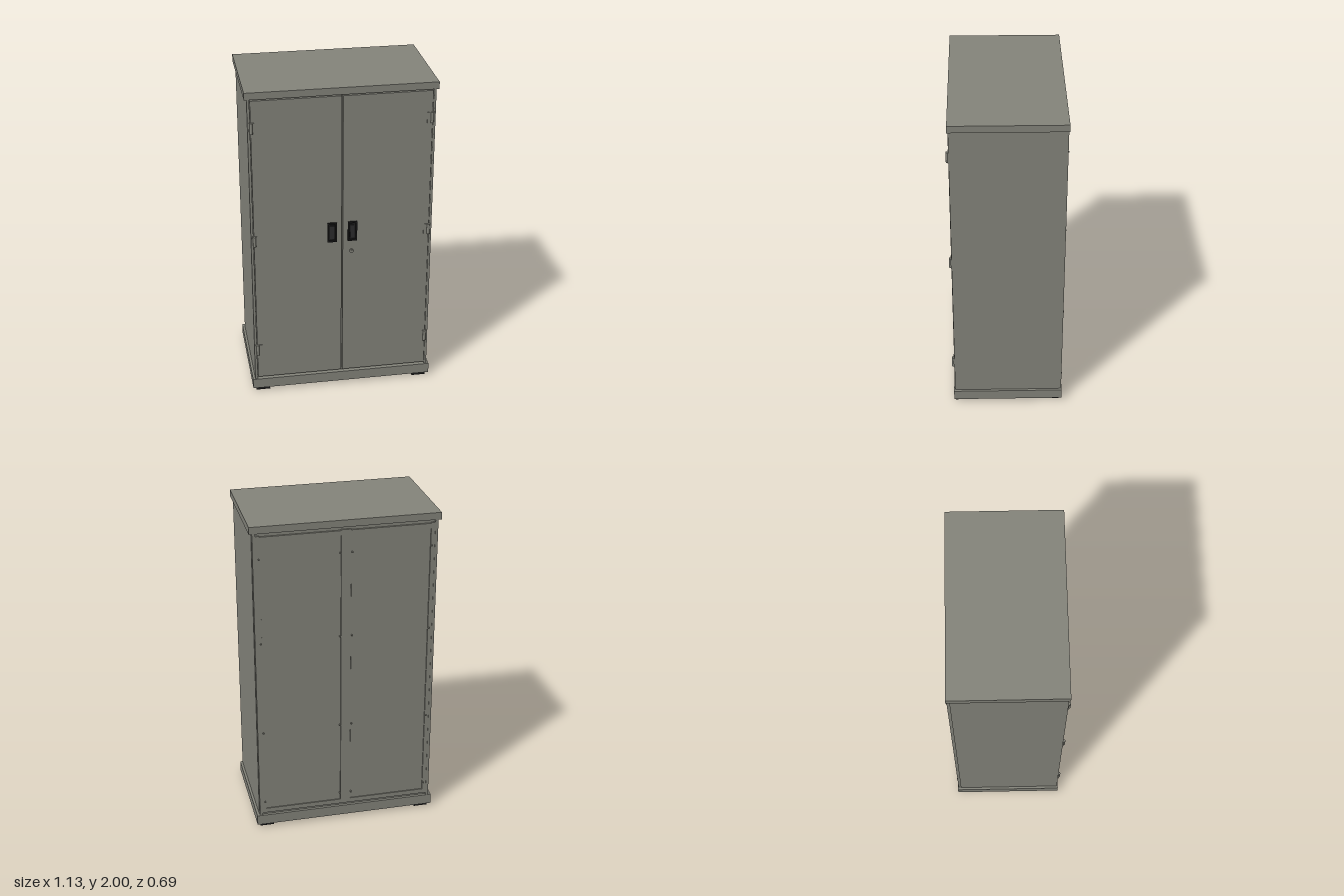
import * as THREE from 'three';

const paint = new THREE.MeshStandardMaterial({ color: 0x84847b });
paint.name = 'grey paint';
const black = new THREE.MeshStandardMaterial({ color: 0x1a1a1b });
black.name = 'black plastic';
const charcoal = new THREE.MeshStandardMaterial({ color: 0x2c2c2d });
charcoal.name = 'charcoal plastic';

export function createModel() {
  const cabinet = new THREE.Group();
  cabinet.name = 'cabinet';

  // Box given by its limits on each axis
  const box = (name, x0, x1, y0, y1, z0, z1, mat = paint) => {
    const m = new THREE.Mesh(new THREE.BoxGeometry(Math.abs(x1 - x0), y1 - y0, z1 - z0), mat);
    m.position.set((x0 + x1) / 2, (y0 + y1) / 2, (z0 + z1) / 2);
    m.name = name;
    cabinet.add(m);
    return m;
  };
  // Upright or z-facing cylinder
  const rod = (name, r, len, x, y, z, facing, sides = 16) => {
    const m = new THREE.Mesh(new THREE.CylinderGeometry(r, r, len, sides), paint);
    if (facing) m.rotation.x = Math.PI / 2;
    m.position.set(x, y, z);
    m.name = name;
    cabinet.add(m);
    return m;
  };
  // Upright rectangular ring extruded along z
  const ring = (name, x, y, w, h, border, z0, depth, mat) => {
    const rect = (p, a, b) => p.moveTo(-a, -b).lineTo(a, -b).lineTo(a, b).lineTo(-a, b).closePath();
    const s = rect(new THREE.Shape(), w / 2, h / 2);
    s.holes.push(rect(new THREE.Path(), w / 2 - border, h / 2 - border));
    const m = new THREE.Mesh(new THREE.ExtrudeGeometry(s, { depth, bevelEnabled: false }), mat);
    m.position.set(x, y, z0);
    m.name = name;
    cabinet.add(m);
    return m;
  };

  // Carcass, lid and hollow plinth
  box('body', -0.545, 0.545, 0.05, 1.96, -0.325, 0.308);
  box('lid', -0.565, 0.565, 1.957, 2, -0.342, 0.336);
  const plinth = ring('plinth', 0, 0.02, 1.13, 0.678, 0.025, 0, 0.065, paint);
  plinth.rotation.x = -Math.PI / 2;
  plinth.position.set(0, 0.02, -0.003);
  box('plinthTop', -0.55, 0.55, 0.07, 0.085, -0.335, 0.33);
  box('floorPan', -0.55, 0.55, 0.026, 0.05, -0.33, 0.322);
  box('topRail', -0.535, 0.535, 1.951, 1.958, -0.3, 0.318);

  for (const s of [-1, 1]) {
    // Side panels, front posts and doors
    box('sidePanel', s * 0.537, s * 0.55, 0.08, 1.958, -0.322, 0.329);
    box('rearCorner', s * 0.53, s * 0.547, 0.08, 1.958, -0.338, -0.32);
    box('frontPost', s * 0.535, s * 0.545, 0.085, 1.955, 0.3, 0.328);
    box('door', s * 0.004, s * 0.532, 0.1, 1.948, 0.306, 0.331);

    // Hinges with a leaf and a barrel
    for (const [y, h] of [[1.783, 0.065], [1.058, 0.065], [0.3, 0.07]]) {
      box('hingeLeaf', s * 0.5, s * 0.545, y - h / 2, y + h / 2, 0.325, 0.334);
      rod('hingeBarrel', 0.009, h, s * 0.529, y, 0.336, false);
    }

    // Recessed pull handles
    const hx = s * 0.062;
    ring('handleFrame', hx, 1.082, 0.056, 0.127, 0.009, 0.328, 0.014, black);
    box('handleRecess', hx - 0.025, hx + 0.025, 1.022, 1.142, 0.328, 0.333, black);
    box('handlePaddle', hx - 0.013, hx + 0.013, 1.04, 1.124, 0.332, 0.339, charcoal);

    // Feet
    for (const [z0, z1] of [[0.24, 0.325], [-0.325, -0.24]]) {
      box('foot', s * 0.458, s * 0.545, 0, 0.028, z0, z1, black);
    }

    // Back panels set between the rear frame members, with screws
    box('backPanel', s * 0.032, s * 0.505, 0.13, 1.905, -0.33, -0.32);
    box('rearStile', s * 0.506, s * 0.53, 0.1, 1.94, -0.336, -0.32);
    for (const y of [0.18, 0.67, 1.27, 1.8]) {
      rod('backScrew', 0.005, 0.012, s * 0.036, y, -0.338, true, 10);
      rod('backScrew', 0.005, 0.012, s * 0.512, y, -0.338, true, 10);
    }
  }

  // Rear frame crossing members
  box('rearPost', -0.03, 0.03, 0.1, 1.94, -0.336, -0.32);
  box('rearTopRail', -0.53, 0.53, 1.905, 1.935, -0.336, -0.32);
  box('rearBottomRail', -0.53, 0.53, 0.1, 0.13, -0.336, -0.32);

  // Door lock with a raised key slot
  rod('lock', 0.012, 0.014, 0.056, 0.948, 0.336, true);
  box('keySlot', 0.0545, 0.0575, 0.941, 0.955, 0.34, 0.3445);

  return cabinet;
}
